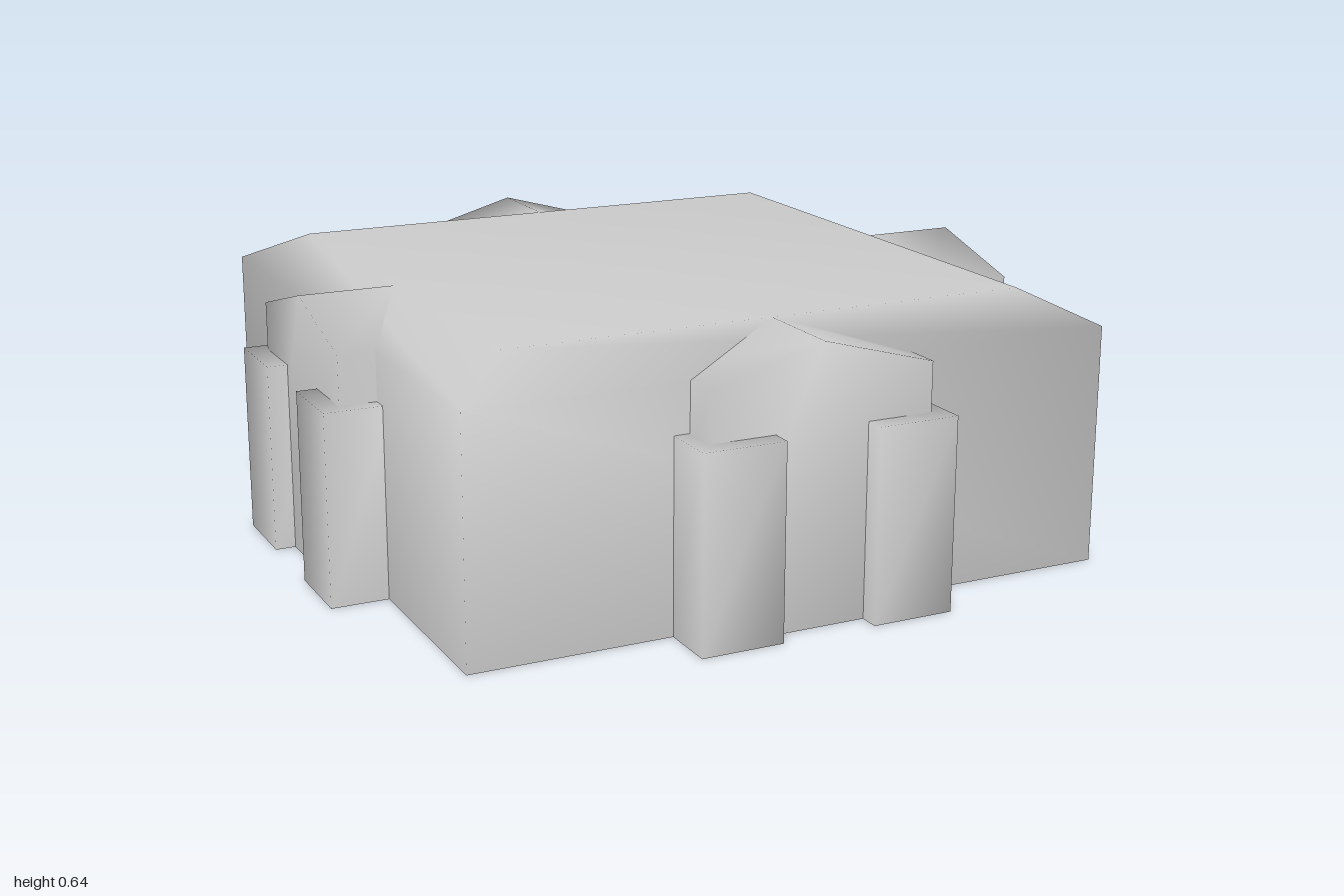
import * as THREE from 'three';
import { mergeVertices } from 'three/addons/utils/BufferGeometryUtils.js';

const HALF = 0.781;   // half width of the square block
const EAVE = 0.565;
const TOP = 0.64;

// Smooth normals over walls and roof, flat underside; can drop the buried back.
function soften(source, dropBack = false) {
  const p = (source.index ? source.toNonIndexed() : source).getAttribute('position');
  const sides = [], under = [];
  const t = new THREE.Triangle(), n = new THREE.Vector3();
  for (let i = 0; i < p.count; i += 3) {
    t.setFromAttributeAndIndices(p, i, i + 1, i + 2);
    if (t.getArea() < 1e-7) continue;
    t.getNormal(n);
    if (dropBack && n.z < -0.9) continue;
    const list = n.y < -0.9 ? under : sides;
    for (const v of [t.a, t.b, t.c]) list.push(v.x, v.y, v.z);
  }
  let smooth = new THREE.BufferGeometry();
  smooth.setAttribute('position', new THREE.Float32BufferAttribute(sides, 3));
  smooth = mergeVertices(smooth);
  smooth.computeVertexNormals();
  smooth = smooth.toNonIndexed();
  const normals = [...smooth.getAttribute('normal').array];
  for (let i = 0; i < under.length; i += 3) normals.push(0, -1, 0);
  const out = new THREE.BufferGeometry();
  out.setAttribute('position', new THREE.Float32BufferAttribute(
    [...smooth.getAttribute('position').array, ...under], 3));
  out.setAttribute('normal', new THREE.Float32BufferAttribute(normals, 3));
  return out;
}

export function createModel() {
  const model = new THREE.Group();
  model.name = 'squareBuilding';
  const material = new THREE.MeshStandardMaterial({ color: 0xcccccc });
  const add = (parent, name, geometry) => {
    const mesh = new THREE.Mesh(geometry, material);
    mesh.name = name;
    parent.add(mesh);
    return mesh;
  };

  // Square block with a low, flat-topped hip roof
  const r = Math.SQRT2;
  const profile = [[0, 0], [HALF * r, 0], [HALF * r, EAVE], [0.64 * r, TOP], [0, TOP]]
    .map(([x, y]) => new THREE.Vector2(x, y));
  add(model, 'mainBlock', soften(new THREE.LatheGeometry(profile, 4, Math.PI / 4)));

  // Gabled bay, running back to the flat roof
  const w = 0.27;
  const gable = new THREE.Shape([[-w, 0], [w, 0], [w, EAVE], [0, TOP], [-w, EAVE]]
    .map(([x, y]) => new THREE.Vector2(x, y)));
  const bayGeometry = soften(
    new THREE.ExtrudeGeometry(gable, { depth: 0.228, bevelEnabled: false })
      .translate(0, 0, 0.64), true);

  // Square pillar wrapped around a bay corner
  const pillarGeometry = soften(
    new THREE.BoxGeometry(0.195, 0.45, 0.156).translate(0, 0.225, 0.838), true);

  // One entrance on each of the four sides
  for (let i = 0; i < 4; i++) {
    const entrance = new THREE.Group();
    entrance.name = 'entrance';
    entrance.rotation.y = i * Math.PI / 2;
    add(entrance, 'gabledBay', bayGeometry);
    for (const side of [-1, 1]) {
      add(entrance, side < 0 ? 'rightPillar' : 'leftPillar', pillarGeometry)
        .position.x = side * 0.21;
    }
    model.add(entrance);
  }

  // The whole building stands turned about its vertical axis
  model.rotation.y = -0.346;
  return model;
}
